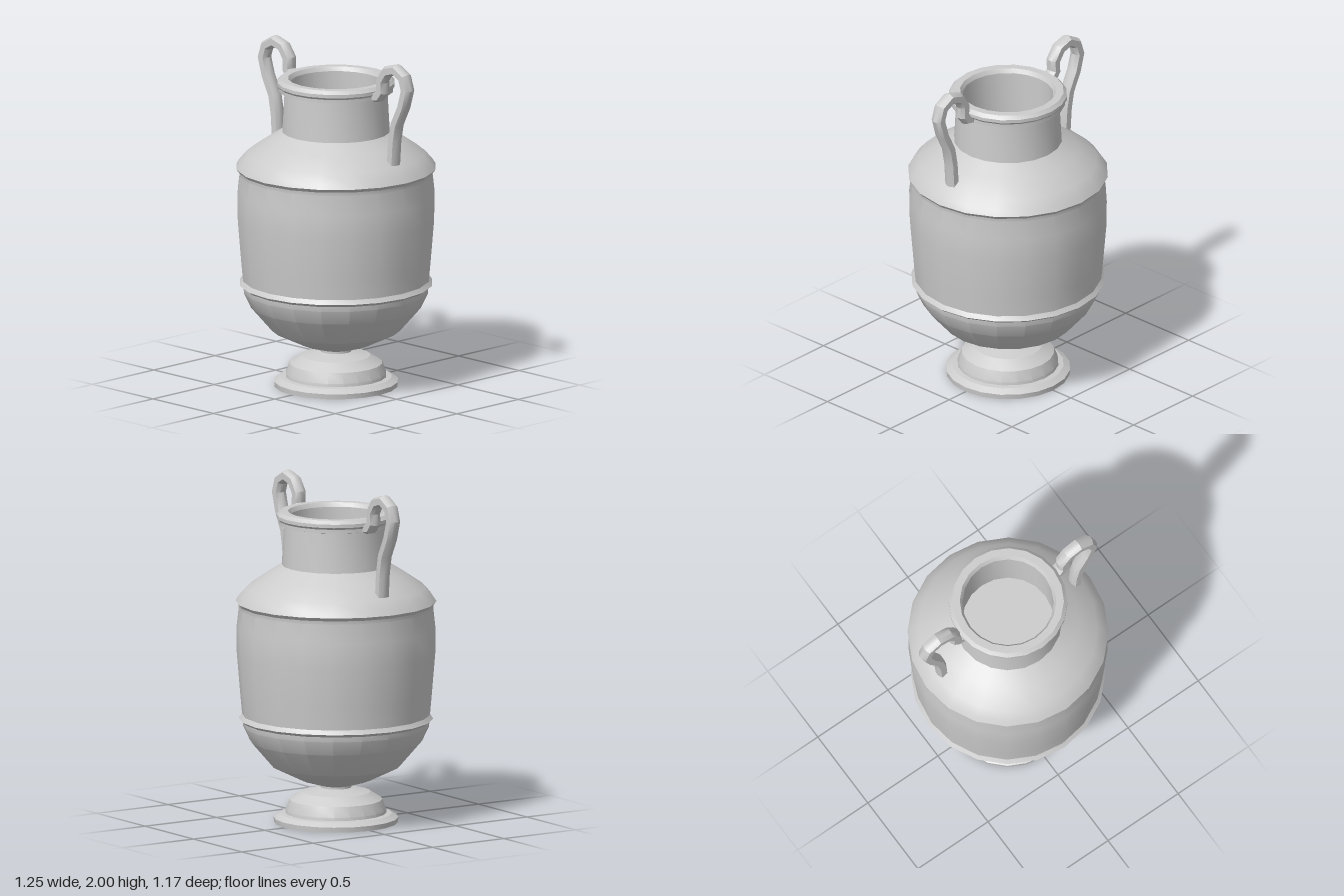
import * as THREE from 'three';
import { toCreasedNormals } from 'three/addons/utils/BufferGeometryUtils.js';

const SIDES = 20;
const material = new THREE.MeshStandardMaterial({ color: 0xcccccc });

function makeMesh(name, geometry, crease) {
  const mesh = new THREE.Mesh(toCreasedNormals(geometry, crease), material);
  mesh.name = name;
  return mesh;
}

// Turned part from a bottom-to-top [radius, height] profile
function turned(name, profile) {
  const points = profile.map(([r, y]) => new THREE.Vector2(r, y));
  return makeMesh(name, new THREE.LatheGeometry(points, SIDES), 0.34);
}

// Sweeps a bevelled rectangular section along a path in the XY plane
function sweep(path, halfThick, halfWide) {
  const section = [
    [1, -0.35], [1, 0.35], [0.6, 1], [-0.6, 1],
    [-1, 0.35], [-1, -0.35], [-0.6, -1], [0.6, -1],
  ];
  const n = section.length;
  const pts = path.map(([x, y]) => new THREE.Vector2(x, y));
  const last = pts.length - 1;
  const positions = [];
  const index = [];
  pts.forEach((p, i) => {
    const before = p.clone().sub(pts[Math.max(i - 1, 0)]).normalize();
    const after = pts[Math.min(i + 1, last)].clone().sub(p).normalize();
    const t = before.clone().add(after).normalize();
    // Widen at bends so the thickness stays even
    const miter = halfThick / Math.max(0.7, t.dot(i < last ? after : before));
    for (const [u, w] of section) {
      positions.push(p.x - t.y * u * miter, p.y + t.x * u * miter, w * halfWide);
    }
  });
  for (let i = 0; i < last; i++) {
    for (let j = 0; j < n; j++) {
      const a = i * n + j;
      const b = i * n + (j + 1) % n;
      index.push(a, b, b + n, a, b + n, a + n);
    }
  }
  // End caps
  for (let j = 1; j < n - 1; j++) {
    index.push(0, j + 1, j);
    index.push(last * n, last * n + j, last * n + j + 1);
  }
  const geometry = new THREE.BufferGeometry();
  geometry.setAttribute('position', new THREE.Float32BufferAttribute(positions, 3));
  geometry.setIndex(index);
  return geometry;
}

export function createModel() {
  const vase = new THREE.Group();
  vase.name = 'vase';

  // Stepped foot with closed underside
  vase.add(turned('foot', [
    [0, 0], [0.36, 0], [0.363, 0.03], [0.325, 0.053], [0.295, 0.057],
    [0.293, 0.075], [0.27, 0.135], [0.2, 0.18], [0.09, 0.205], [0.09, 0.222],
  ]));

  // Belly with a raised ring below and above, then the shoulder
  vase.add(turned('body', [
    [0.09, 0.218], [0.2, 0.25], [0.375, 0.335], [0.5, 0.48], [0.54, 0.565],
    [0.543, 0.595], [0.565, 0.612], [0.546, 0.637], [0.557, 0.76],
    [0.577, 1.0], [0.578, 1.15], [0.565, 1.265], [0.568, 1.285],
    [0.584, 1.305], [0.565, 1.335], [0.52, 1.385], [0.41, 1.46], [0.315, 1.52],
  ]));

  // Neck, lip and hollow mouth
  vase.add(turned('neck', [
    [0.315, 1.52], [0.302, 1.755], [0.335, 1.762], [0.335, 1.783],
    [0.345, 1.795], [0.345, 1.815], [0.325, 1.835], [0.28, 1.835],
    [0.265, 1.81], [0.265, 1.5], [0, 1.5],
  ]));

  // Looped handles from the shoulder up and over to the lip
  const handlePath = [
    [0.475, 1.4], [0.485, 1.54], [0.505, 1.645], [0.56, 1.755], [0.591, 1.86],
    [0.567, 1.932], [0.5, 1.969], [0.43, 1.948], [0.385, 1.885],
    [0.387, 1.82], [0.362, 1.788], [0.325, 1.78],
  ];
  const handleGeometry = sweep(handlePath, 0.031, 0.036);
  for (const side of ['left', 'right']) {
    const handle = makeMesh(side + 'Handle', handleGeometry, 0.6);
    if (side === 'right') handle.rotation.y = Math.PI;
    vase.add(handle);
  }
  return vase;
}
